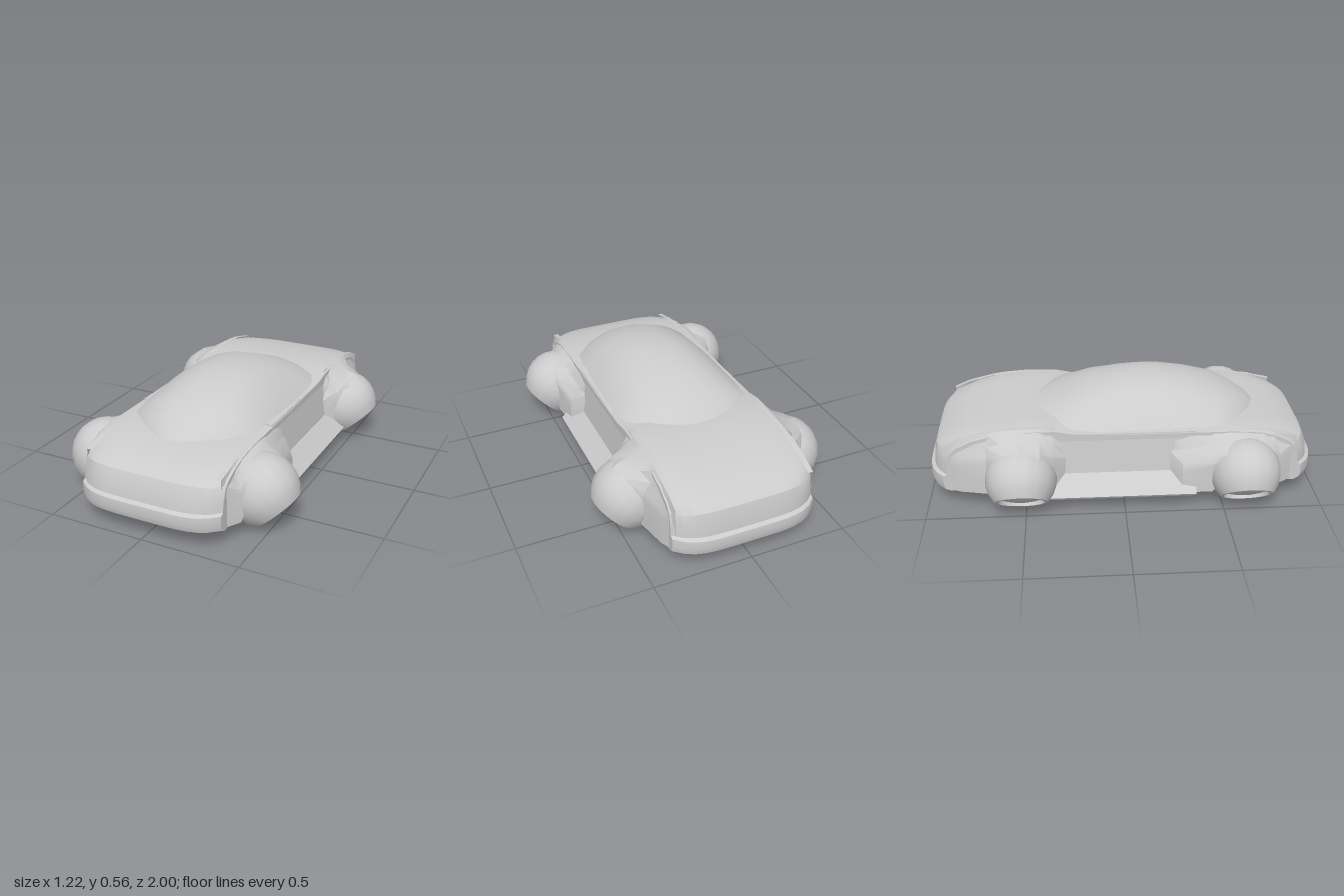
import * as THREE from 'three';
import { toCreasedNormals } from 'three/addons/utils/BufferGeometryUtils.js';

const material = new THREE.MeshStandardMaterial({ color: 0xcccccc, side: THREE.DoubleSide });

function addMesh(group, name, geometry, crease = 0.5) {
  const mesh = new THREE.Mesh(toCreasedNormals(geometry, crease), material);
  mesh.name = name;
  group.add(mesh);
  return mesh;
}

// Skins a list of equally long cross-sections, each an array of [x, y, z].
function loft(sections) {
  const n = sections[0].length, index = [];
  for (let i = 0; i < sections.length - 1; i++) {
    for (let j = 0; j < n - 1; j++) {
      const a = i * n + j, b = a + n;
      index.push(a, a + 1, b, a + 1, b + 1, b);
    }
  }
  const geometry = new THREE.BufferGeometry();
  geometry.setAttribute('position', new THREE.Float32BufferAttribute(sections.flat(2), 3));
  geometry.setIndex(index);
  return geometry;
}

const toShape = (points) => new THREE.Shape(points.map(([x, y]) => new THREE.Vector2(x, y)));

// Main body: side profile (z, y) extruded across x, ends rounded in plan.
function bodyGeometry() {
  const half = 0.37;
  const profile = [
    [0.76, 0.1], [0.96, 0.095], [0.99, 0.11], [1.0, 0.14], [0.995, 0.185], [0.975, 0.195],
    [0.965, 0.26], [0.94, 0.315], [0.9, 0.34], [0.82, 0.365], [0.7, 0.39], [0.55, 0.4],
    [0.1, 0.4], [-0.25, 0.41], [-0.34, 0.428], [-0.5, 0.428], [-0.65, 0.415], [-0.8, 0.385],
    [-0.92, 0.345], [-0.955, 0.31], [-0.97, 0.25], [-0.975, 0.19], [-0.995, 0.18], [-1.0, 0.14],
    [-0.99, 0.105], [-0.96, 0.095], [-0.69, 0.095], [-0.67, 0.19], [-0.39, 0.19], [-0.36, 0.09],
    [0.43, 0.09], [0.46, 0.19], [0.74, 0.19],
  ];
  const g = new THREE.ExtrudeGeometry(toShape(profile), { depth: 2 * half, steps: 16, bevelEnabled: false });
  g.rotateY(-Math.PI / 2).translate(half, 0, 0);
  const p = g.attributes.position;
  for (let i = 0; i < p.count; i++) {
    const u = Math.abs(p.getX(i)) / half, z = p.getZ(i);
    const ends = THREE.MathUtils.smoothstep(Math.abs(z), 0.6, 1);
    p.setZ(i, z * (1 - 0.085 * ends * u ** 5));
    if (p.getY(i) > 0.22) p.setY(i, p.getY(i) - 0.012 * u ** 6);
  }
  return g;
}

// Domed cabin: arched sections, [z, half width, top].
function cabinGeometry() {
  const stations = [
    [0.71, 0.04, 0.387], [0.67, 0.13, 0.425], [0.6, 0.24, 0.465], [0.5, 0.33, 0.51], [0.35, 0.345, 0.552],
    [0.2, 0.355, 0.574], [0.1, 0.358, 0.573], [0, 0.36, 0.565], [-0.15, 0.36, 0.54],
    [-0.3, 0.355, 0.485], [-0.39, 0.28, 0.445], [-0.46, 0.18, 0.422],
  ];
  const base = 0.385, n = 20;
  return loft(stations.map(([z, w, top]) => Array.from({ length: n + 1 }, (_, j) => {
    const u = -Math.cos((j / n) * Math.PI);
    return [u * w, base + (top - base) * (1 - Math.abs(u) ** 2.4), z];
  })));
}

// Flared fender: [z, outer x, inner height, shoulder height, lower edge].
function fenderGeometry(side, stations) {
  return loft(stations.map(([z, out, top, shoulder, low]) => {
    const at = (t) => 0.355 + (out - 0.355) * t;
    const points = [
      [0.33, top], [0.355, top], [at(0.4), top - (top - shoulder) * 0.45],
      [at(0.85), top - (top - shoulder) * 0.75], [out, shoulder], [out, low], [0.35, low],
    ];
    return points.map(([x, y]) => [side * x, y, z]);
  }));
}

// Wheel pod: ball cut by a slanted plane, with a rim lip and a bulged disc.
function podGeometry() {
  const radius = 0.18, cut = -0.12;
  const points = [[0, -0.118], [0.05, -0.114], [0.09, -0.106], [0.115, -0.096], [0.118, cut], [0.134, cut]];
  const start = Math.asin(cut / radius);
  for (let i = 1; i <= 9; i++) {
    const a = start + (Math.PI / 2 - start) * i / 9;
    points.push([Math.max(0, radius * Math.cos(a)), radius * Math.sin(a)]);
  }
  return new THREE.LatheGeometry(points.map(([x, y]) => new THREE.Vector2(x, y)), 18);
}

export function createModel() {
  const car = new THREE.Group();
  car.name = 'car';
  addMesh(car, 'body', bodyGeometry());
  addMesh(car, 'cabin', cabinGeometry());

  // Floor plate with clipped corners
  const plate = toShape([
    [-0.25, -0.4], [0.25, -0.4], [0.335, -0.28], [0.335, 0.32],
    [0.25, 0.44], [-0.25, 0.44], [-0.335, 0.32], [-0.335, -0.28],
  ]);
  const floor = new THREE.ExtrudeGeometry(plate, { depth: 0.04, bevelEnabled: false });
  addMesh(car, 'floor', floor.rotateX(Math.PI / 2).translate(0, 0.108, 0));

  const front = [
    [0.88, 0.355, 0.345, 0.3, 0.1], [0.79, 0.41, 0.365, 0.24, 0.1], [0.76, 0.43, 0.375, 0.27, 0.19],
    [0.7, 0.47, 0.382, 0.31, 0.19], [0.61, 0.5, 0.388, 0.335, 0.19], [0.5, 0.49, 0.39, 0.31, 0.19],
    [0.44, 0.47, 0.39, 0.26, 0.1], [0.29, 0.45, 0.39, 0.2, 0.09], [0.22, 0.38, 0.38, 0.2, 0.09],
  ];
  const rear = [
    [-0.28, 0.375, 0.4, 0.22, 0.1], [-0.36, 0.45, 0.425, 0.27, 0.1], [-0.42, 0.49, 0.427, 0.32, 0.19],
    [-0.52, 0.51, 0.427, 0.35, 0.19], [-0.62, 0.48, 0.42, 0.32, 0.19], [-0.69, 0.42, 0.41, 0.27, 0.1],
    [-0.83, 0.39, 0.375, 0.25, 0.1], [-0.91, 0.352, 0.34, 0.25, 0.1],
  ];

  for (const side of [-1, 1]) {
    const label = side > 0 ? 'left' : 'right';
    addMesh(car, label + 'FrontFender', fenderGeometry(side, front), 0.45);
    addMesh(car, label + 'RearFender', fenderGeometry(side, rear), 0.45);

    // Door with a sloping sill below it
    const section = [[0.33, 0.4], [0.365, 0.395], [0.395, 0.19], [0.485, 0.1], [0.475, 0.085], [0.33, 0.085]];
    const door = new THREE.ExtrudeGeometry(toShape(section.map(([x, y]) => [side * x, y])), { depth: 0.74, bevelEnabled: false });
    addMesh(car, label + 'DoorAndSill', door.translate(0, 0, -0.38));

    for (const [end, z] of [['Front', 0.61], ['Rear', -0.52]]) {
      const pod = addMesh(car, label + end + 'Wheel', podGeometry());
      pod.position.set(side * 0.432, 0.19, z);
      pod.rotation.z = side * 0.734;
    }
  }
  return car;
}
